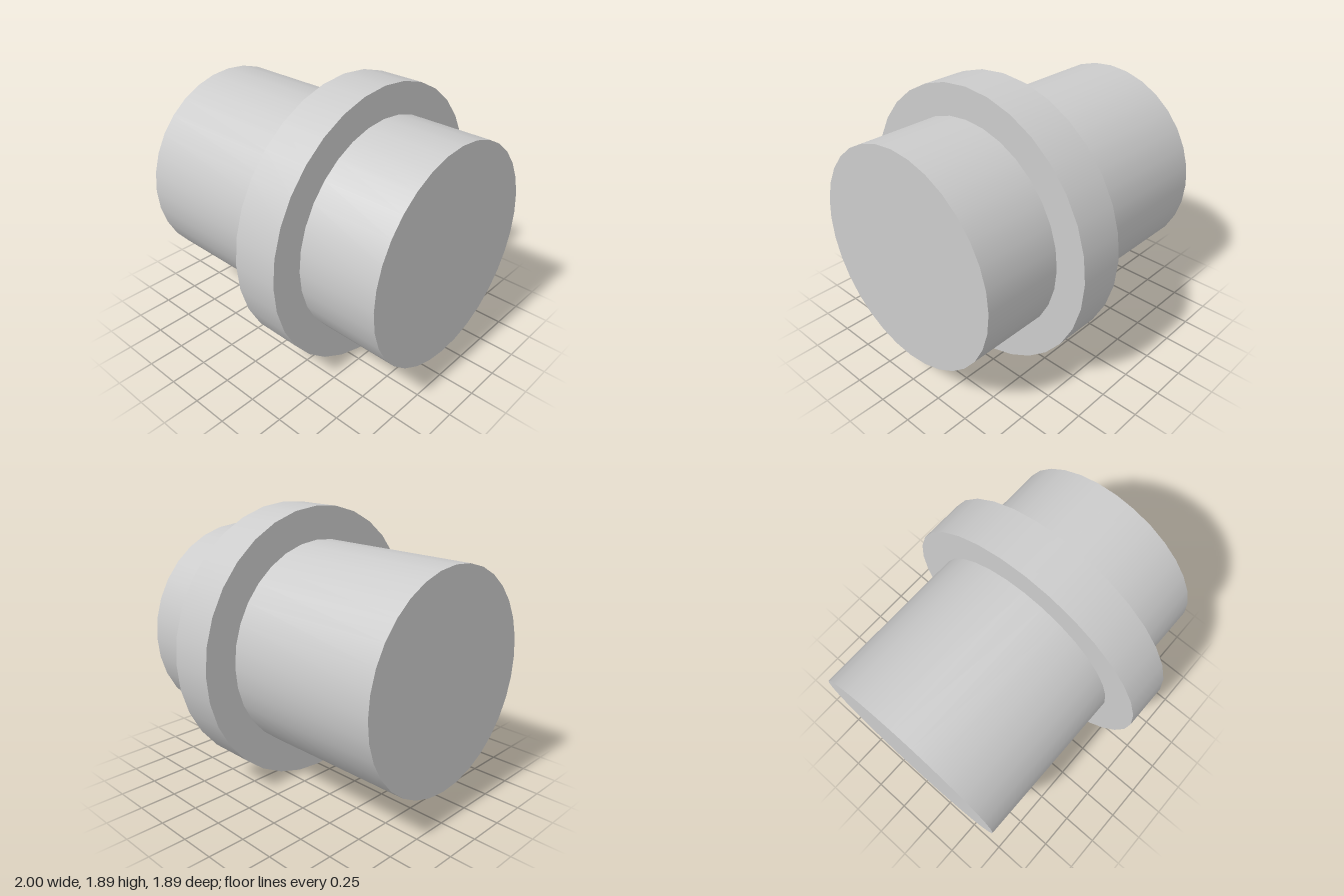
import * as THREE from 'three';

const AXIS_Y = 0.944; // height of the shared axis, equal to the flange radius
const SIDES = 32;

export function createModel() {
  const group = new THREE.Group();
  group.name = 'flangedShaft';
  const material = new THREE.MeshStandardMaterial({ color: 0xcccccc });

  // Capped cylinder lying along x from x0 to x1
  const addDrum = (name, radius, x0, x1) => {
    const geometry = new THREE.CylinderGeometry(radius, radius, x1 - x0, SIDES);
    geometry.rotateZ(-Math.PI / 2);
    const mesh = new THREE.Mesh(geometry, material);
    mesh.name = name;
    mesh.position.set((x0 + x1) / 2, AXIS_Y, 0);
    group.add(mesh);
  };

  addDrum('longShaft', 0.72, -1, 0.12);
  addDrum('flange', AXIS_Y, 0.12, 0.44);
  addDrum('shortShaft', 0.735, 0.44, 1);

  return group;
}
